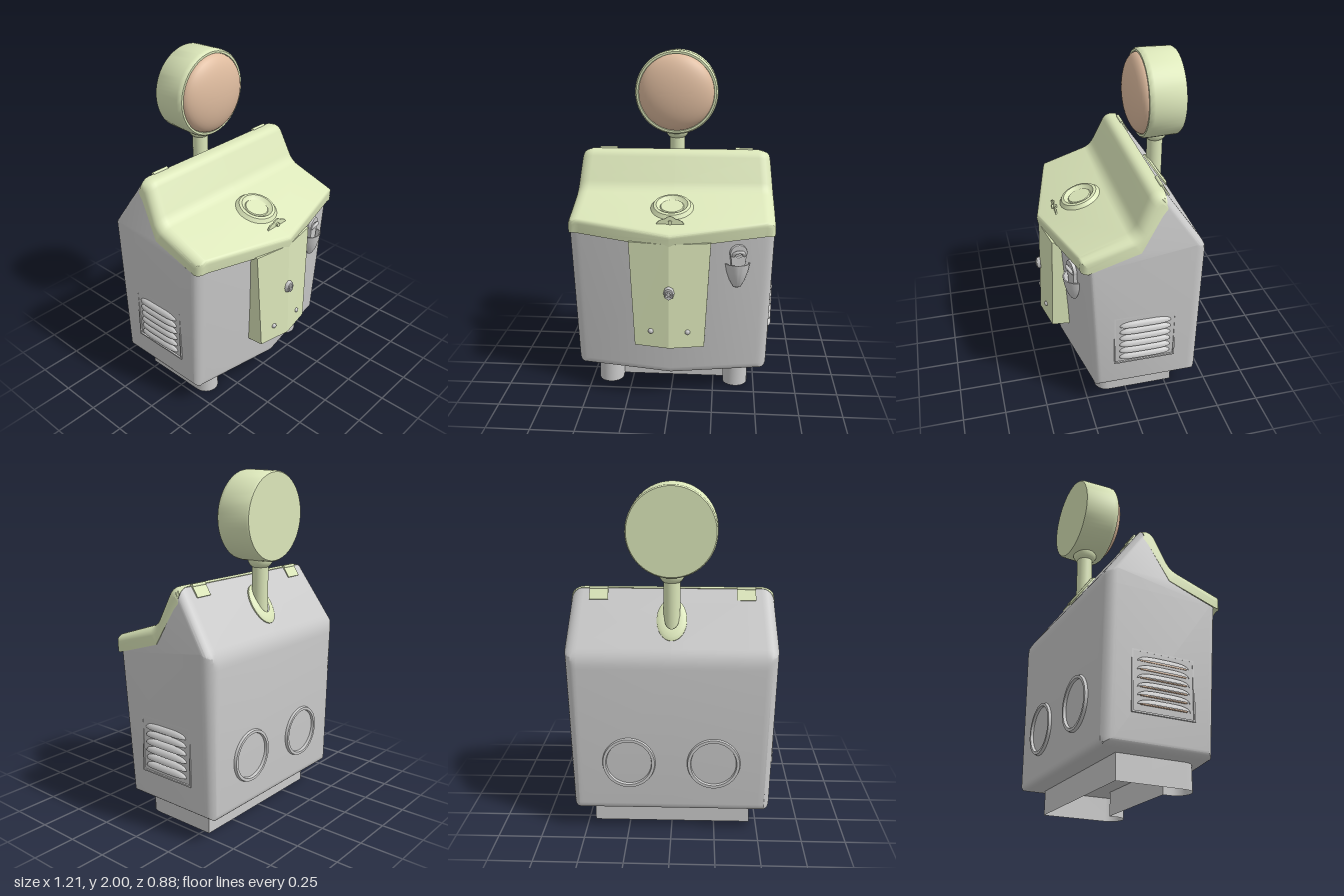
import * as THREE from 'three';
import { toCreasedNormals } from 'three/addons/utils/BufferGeometryUtils.js';

const mat = (color) => new THREE.MeshStandardMaterial({ color, side: THREE.DoubleSide });
const V3 = (x, y, z) => new THREE.Vector3(x, y, z);
const clamp = THREE.MathUtils.clamp;

export function createModel() {
  const model = new THREE.Group();
  const grey = mat(0xcccccc), green = mat(0xdce7ba), peach = mat(0xe0bda0);

  const add = (name, geo, material, pos = [0, 0, 0], rot = [0, 0, 0], parent = model) => {
    const mesh = new THREE.Mesh(geo, material);
    mesh.name = name;
    mesh.position.set(...pos);
    mesh.rotation.set(...rot);
    parent.add(mesh);
    return mesh;
  };
  const group = (name, pos, rot = [0, 0, 0]) => {
    const g = new THREE.Group();
    g.name = name;
    g.position.set(...pos);
    g.rotation.set(...rot);
    model.add(g);
    return g;
  };
  const lathe = (pts, n = 48, start = 0, len = Math.PI * 2) => toCreasedNormals(
    new THREE.LatheGeometry(pts.map(p => new THREE.Vector2(...p)), n, start, len), 0.6);

  // Rounds the corners of a [z, y, radius] polygon
  const roundLoop = (pts) => pts.flatMap(([a, b, r], i) => {
    const p = new THREE.Vector2(a, b);
    if (!r) return [p];
    const toward = (q) => new THREE.Vector2(q[0], q[1]).sub(p).setLength(r).add(p);
    const n = pts.length;
    return new THREE.QuadraticBezierCurve(toward(pts[(i + n - 1) % n]), p, toward(pts[(i + 1) % n])).getPoints(5);
  });

  // Skins loops of points running along x and caps both ends
  const loft = (loops, crease = 0.5) => {
    const n = loops[0].length, idx = [], last = (loops.length - 1) * n;
    for (let i = 0; i < loops.length - 1; i++) for (let j = 0; j < n; j++) {
      const a = i * n + j, d = i * n + (j + 1) % n;
      idx.push(a, a + n, d + n, a, d + n, d);
    }
    const cap = (loop) => THREE.ShapeUtils.triangulateShape(loop.map(p => new THREE.Vector2(p.z, p.y)), []);
    cap(loops[0]).forEach(f => idx.push(...f));
    cap(loops[loops.length - 1]).forEach(([a, b, c]) => idx.push(last + c, last + b, last + a));
    const g = new THREE.BufferGeometry().setFromPoints(loops.flat());
    g.setIndex(idx);
    return toCreasedNormals(g, crease);
  };

  // Shared shaping of body and lid: rounded ends, tapered sides, pointed front
  const R = 0.07, stations = [[0, 0]];
  for (let i = 0; i <= 6; i++) {
    const a = i / 6 * Math.PI / 2;
    const s = [0.6 - R + R * Math.sin(a), R * (1 - Math.cos(a))];
    stations.push(s);
    stations.unshift([-s[0], s[1]]);
  }
  const halfWidth = (y) => y < 1.1 ? 0.567 + 0.028 * (y - 0.14) / 0.96 : 0.595 - 0.03 * (y - 1.1) / 0.3;
  const shell = (profile, frontZ, wide, isLid) => loft(stations.map(([x, d]) => profile.map((p, j) => {
    let z = p.x, y = p.y;
    if (isLid && j > 0 && j < profile.length - 2) { z -= 0.5 * d; y -= 0.6 * d; }
    z = clamp(z, -0.42 + d, frontZ(y) - d);
    y = Math.max(y, 0.14 + d * 0.6);
    y = Math.min(y, 1.408 + (z + 0.18) * 1.45 - d);
    if (z > 0) {
      const dz = -0.13 * Math.min(Math.abs(x) / 0.55, 1) * z / 0.42;
      z += dz;
      y -= dz * 0.32 * clamp((y - 0.7) / 0.25, 0, 1);
    }
    return V3(x / 0.6 * halfWidth(y) * wide, y, z);
  })));

  add('body', shell(roundLoop([[0.315, 0.14, 0.04], [0.385, 0.97, 0], [-0.04, 1.09, 0], [-0.18, 1.405, 0],
    [-0.42, 1.06, 0.06], [-0.412, 0.14, 0.04]]), y => 0.305 + 0.085 * y, 1, false), grey);
  add('lid', shell(roundLoop([[0.42, 0.96, 0], [0.435, 1.04, 0.025], [-0.01, 1.19, 0.05], [-0.11, 1.41, 0.04],
    [-0.18, 1.408, 0], [-0.04, 1.09, 0]]), () => 0.436, 1.005, true), green);

  // Pointed front panel, wider at the top
  add('frontPanel', loft([-1, 0, 1].map(k => {
    const s = 0.04 * Math.abs(k);
    return [V3(k * 0.2, 0.355, 0.28), V3(k * 0.2, 0.365, 0.438 - s),
      V3(k * 0.232, 0.985, 0.422 - s), V3(k * 0.232, 0.985, 0.3)];
  }), 0.1), green);

  // Latch and screws on the panel
  const latch = group('latch', [0, 0.7, 0.432]);
  const plate = add('latchPlate', new THREE.CylinderGeometry(0.026, 0.032, 0.02, 8), grey, [0, 0, 0.005], [Math.PI / 2, 0, 0], latch);
  plate.scale.z = 1.3;
  add('latchRing', new THREE.TorusGeometry(0.015, 0.005, 8, 20), grey, [0, 0, 0.016], [0, 0, 0], latch);
  for (const s of [-1, 1])
    add('screw', new THREE.SphereGeometry(0.016, 14, 10), grey, [s * 0.105, 0.46, 0.412]);

  // Hollow base: one thin wall bent round two rounded front feet
  const foot = (s) => Array.from({ length: 13 }, (_, i) => {
    const a = Math.PI * i / 12;
    return [s * 0.385 - 0.075 * Math.cos(a), 0.105 + 0.075 * Math.sin(a)];
  });
  const wall = [[-0.46, -0.29], ...foot(-1), [-0.31, 0.06], [0.31, 0.06], ...foot(1), [0.46, -0.29], [-0.46, -0.29]];
  const ribbon = new THREE.PlaneGeometry(1, 0.15, wall.length - 1, 1);
  const rp = ribbon.attributes.position;
  for (let i = 0; i < rp.count; i++) {
    const [x, z] = wall[i % wall.length];
    rp.setXYZ(i, x, rp.getY(i) + 0.075, z);
  }
  add('base', toCreasedNormals(ribbon, 0.5), grey);

  // Round head with its domed lens, on a neck rising from the back slope
  const face = [Math.PI / 2, 0, 0];
  add('headDrum', lathe([[0, 0], [0.24, 0], [0.247, 0.01], [0.252, 0.18], [0.25, 0.2], [0.242, 0.21], [0.23, 0.21], [0.225, 0.19]], 64),
    green, [0, 1.748, -0.38], face);
  const dome = Array.from({ length: 13 }, (_, i) => {
    const a = i / 12 * Math.PI / 2;
    return [0.228 * Math.cos(a), 0.085 * Math.sin(a)];
  });
  add('lens', lathe(dome, 64), peach, [0, 1.748, -0.18], face);
  add('neck', new THREE.CylinderGeometry(0.046, 0.046, 0.36, 32), green, [0, 1.34, -0.28]);
  add('neckCollar', lathe([[0.046, 0], [0.058, 0.01], [0.07, 0.03], [0.07, 0.05]], 32), green, [0, 1.465, -0.28]);
  add('neckFlange', lathe([[0.085, -0.02], [0.085, 0.008], [0.07, 0.018], [0.04, 0.018]], 40), green,
    [0, 1.25, -0.288], [-0.977, 0, 0]).scale.z = 1.45;

  // Round dished button on the sloping lid
  add('lidButton', lathe([[0, 0.012], [0.065, 0.012], [0.07, 0.006], [0.078, 0.01], [0.092, 0.024], [0.108, 0.02], [0.127, -0.004]]),
    green, [0, 1.13, 0.17], [0.325, 0, 0]);

  // Small upright tab in front of the button
  const tab = group('lidTab', [0, 1.075, 0.325]);
  const fin = new THREE.Shape();
  fin.moveTo(-0.08, 0);
  fin.lineTo(0.08, 0);
  fin.quadraticCurveTo(0.07, 0.03, 0.03, 0.035);
  fin.quadraticCurveTo(0, 0.065, -0.03, 0.035);
  fin.quadraticCurveTo(-0.07, 0.03, -0.08, 0);
  add('tabFin', new THREE.ExtrudeGeometry(fin, { depth: 0.008, bevelEnabled: false }), green, [0, -0.004, -0.004], [0, 0, 0], tab);
  add('tabPin', new THREE.CylinderGeometry(0.012, 0.012, 0.03, 12), green, [0, 0.012, 0], face, tab);

  // Bottle opener and its catch cup on the left of the front
  const opener = group('opener', [0.37, 0, 0.285], [-0.06, 0.23, 0]);
  add('catchCup', lathe([[0, 0.69], [0.022, 0.7], [0.045, 0.74], [0.062, 0.79], [0.073, 0.84], [0.066, 0.84], [0.05, 0.78], [0, 0.71]],
    24, -Math.PI / 2, Math.PI), grey, [0, 0, 0.048], [0, 0, 0], opener);
  const back = new THREE.Shape();
  back.absarc(0, 0.055, 0.045, -0.4, Math.PI + 0.4);
  back.lineTo(-0.03, -0.06);
  back.lineTo(0.03, -0.06);
  const eye = new THREE.Path();
  eye.absellipse(0, 0.05, 0.03, 0.024, 0, Math.PI * 2);
  back.holes.push(eye);
  add('openerPlate', new THREE.ExtrudeGeometry(back, { depth: 0.02, bevelSize: 0.005, bevelThickness: 0.005, bevelSegments: 2 }),
    grey, [0, 0.85, 0.055], [0.1, 0, 0], opener);
  add('openerHook', new THREE.TorusGeometry(0.032, 0.01, 10, 20, Math.PI), grey, [0, 0.89, 0.08], [0.7, 0, 0], opener);

  // Louvred side vents, built facing +z and turned outward
  const frame = new THREE.Shape().moveTo(-0.183, -0.168).lineTo(0.183, -0.168).lineTo(0.183, 0.168).lineTo(-0.183, 0.168);
  frame.holes.push(new THREE.Path().moveTo(-0.174, -0.159).lineTo(-0.174, 0.159).lineTo(0.174, 0.159).lineTo(0.174, -0.159));
  const frameGeo = new THREE.ExtrudeGeometry(frame, { depth: 0.016, bevelEnabled: false });
  const hood = new THREE.SphereGeometry(1, 32, 8, 0, Math.PI, 0, Math.PI / 2);
  const hp = hood.attributes.position;
  for (let i = 0; i < hp.count; i++) {
    const x = hp.getX(i);
    hp.setXYZ(i, Math.sign(x) * Math.abs(x) ** 0.5 * 0.152, hp.getY(i) * 0.032, hp.getZ(i) * 0.026);
  }
  hood.computeVertexNormals();
  for (const s of [-1, 1]) {
    const vent = group(s > 0 ? 'leftVent' : 'rightVent', [s * 0.574, 0.485, -0.08], [0, s * Math.PI / 2, 0]);
    add('ventFrame', frameGeo, grey, [0, 0, -0.008], [0, 0, 0], vent);
    for (let i = 0; i < 6; i++) {
      const y = -0.125 + i * 0.046;
      add('louvre', hood, grey, [0, y, 0.004], [0, 0, 0], vent);
      add('ventSlot', new THREE.BoxGeometry(0.27, 0.006, 0.01), peach, [0, y + 0.004, 0.005], [0, 0, 0], vent);
    }
  }

  // Rear rings and lid hinges
  for (const s of [-1, 1]) {
    add('rearRing', lathe([[0.128, -0.006], [0.132, 0.012], [0.148, 0.012], [0.153, -0.006]], 56), grey,
      [s * 0.242, 0.44, -0.418], [-Math.PI / 2, 0, 0]);
    add('hinge', new THREE.BoxGeometry(0.106, 0.012, 0.065), green, [s * 0.415, 1.375, -0.203], [-0.977, 0, 0]);
    add('hingePin', new THREE.CylinderGeometry(0.01, 0.01, 0.106, 12), green, [s * 0.415, 1.408, -0.182], [0, 0, Math.PI / 2]);
  }
  return model;
}
